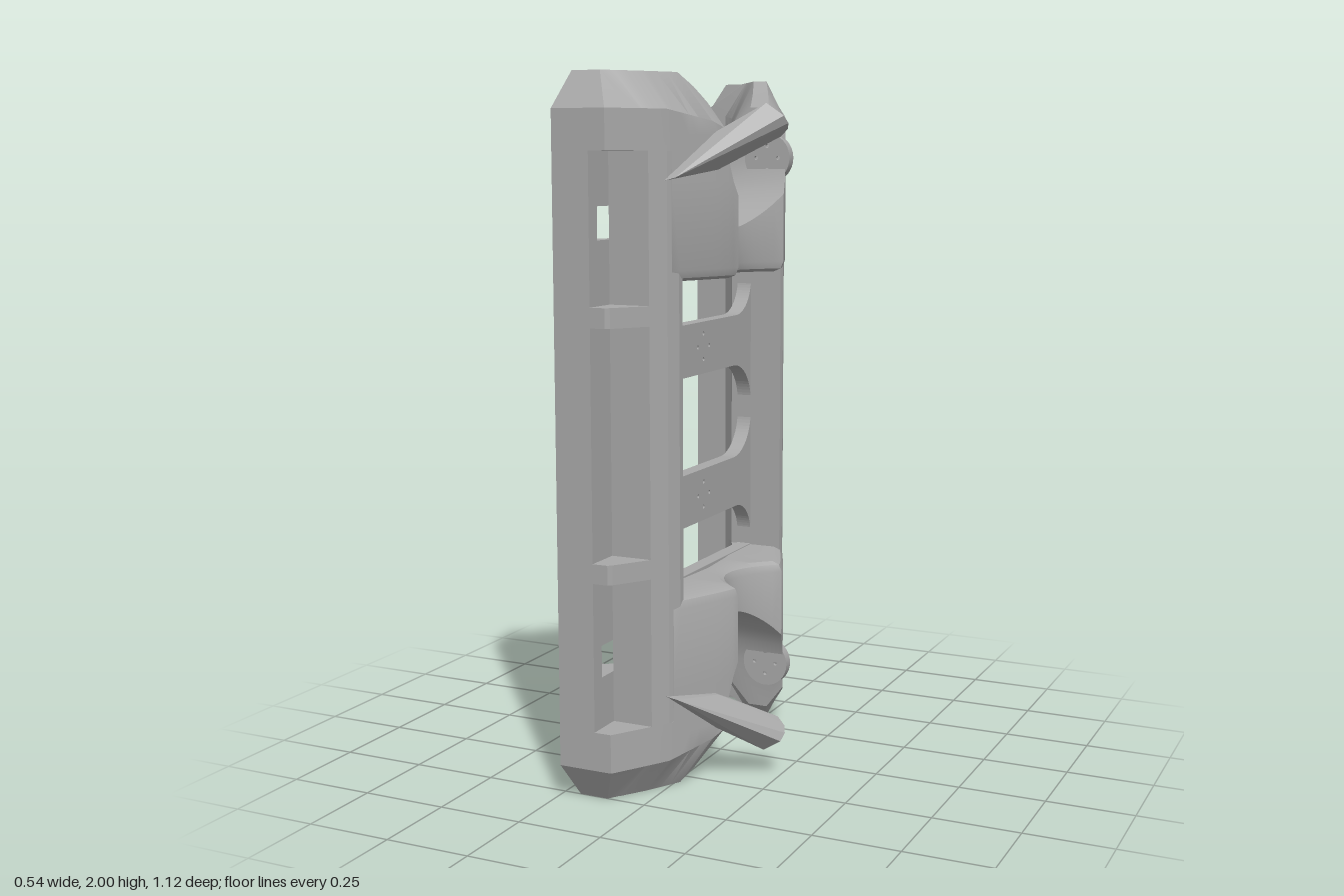
import * as THREE from 'three';
import { toCreasedNormals } from 'three/addons/utils/BufferGeometryUtils.js';
import { ConvexGeometry } from 'three/addons/geometries/ConvexGeometry.js';

const grey = new THREE.MeshStandardMaterial({ color: 0xa8a8a8 });
grey.name = 'grey plastic';

// linear interpolation in a table of rows [key, ...values]
function lookup(table, k, col = 1) {
  for (let i = 1; i < table.length; i++) {
    const a = table[i - 1], b = table[i];
    if (k <= b[0]) return a[col] + (b[col] - a[col]) * Math.max(0, (k - a[0]) / (b[0] - a[0]));
  }
  return table[table.length - 1][col];
}

// inner and outer faces of the arched plan, x against distance from the middle
const inner = [[0, -0.04], [0.15, -0.05], [0.25, -0.075], [0.3, -0.1], [0.36, -0.13], [0.4, -0.17]];
const outer = [[0.16, 0.13], [0.18, 0.125], [0.22, 0.11], [0.3, 0.075], [0.4, 0.03], [0.45, 0], [0.56, -0.07]];
const outX = z => z < 0.16 ? 0.035 + 0.095 * (z / 0.16) ** 2 : lookup(outer, z);
const backX = s => (s > 0 ? -0.23 : -0.27);
const inX = (z, s) => z > 0.403 ? backX(s) : lookup(inner, z);

// top of the horn: distance, side height, ridge height, ridge x from, ridge x to
const ridge = [
  [0.21, 1.85, 1.92, 0, 0.06], [0.25, 1.87, 1.96, -0.01, 0.04], [0.3, 1.88, 2, -0.03, 0.012],
  [0.4, 1.9, 2, -0.1, -0.045], [0.465, 1.9, 2, -0.145, -0.09], [0.47, 1.9, 2, -0.2, -0.095],
  [0.5, 1.9, 2, -0.2, -0.115], [0.56, 1.9, 1.9, -0.23, -0.07],
];

// upper horn section at distance z on side s
function hornRing(z, s, lo, pocket) {
  const a = inX(z, s), b = outX(z), r = lo < 1.5 ? 0.03 : 0;
  let side, top, ta = a, tb = b;
  if (z < 0.205) {
    side = top = 1.57 + 0.26 * (1 - Math.sqrt(1 - (z / 0.205) ** 2));
  } else {
    [side, top, ta, tb] = [1, 2, 3, 4].map(c => lookup(ridge, z, c));
    if (z === 0.56) ta = a;
  }
  const y0 = Math.min(1.71, side), y1 = Math.min(1.83, side);
  const y2 = Math.max(lo, y0), y3 = Math.max(lo, y1), p = pocket ? 0 : b;
  return [[a, lo], [b - r, lo], [b - 0.3 * r, lo + 0.3 * r], [b, lo + r], [b, y2], [p, y2],
    [p, y3], [b, y3], [b, side], [tb, top], [ta, top], [a, side]].map(q => [...q, z * s]);
}

// closed skin over a row of rings
function loft(rings) {
  const n = rings[0].length, idx = [];
  for (let i = 0; i < rings.length - 1; i++) {
    for (let j = 0; j < n; j++) {
      const k = (j + 1) % n, a = i * n + j, b = i * n + k;
      idx.push(a, b, b + n, a, b + n, a + n);
    }
  }
  const e = (rings.length - 1) * n;
  for (let j = 1; j < n - 1; j++) idx.push(0, j + 1, j, e, e + j, e + j + 1);
  const g = new THREE.BufferGeometry();
  g.setAttribute('position', new THREE.Float32BufferAttribute(rings.flat(2), 3));
  g.setIndex(idx);
  return g;
}

// reflect about half height, keeping faces outward
function mirrorY(geo) {
  const src = (geo.index ? geo.toNonIndexed() : geo).getAttribute('position');
  const pos = [];
  for (let i = 0; i < src.count; i += 3) {
    for (const k of [i, i + 2, i + 1]) pos.push(src.getX(k), 2 - src.getY(k), src.getZ(k));
  }
  const g = new THREE.BufferGeometry();
  g.setAttribute('position', new THREE.Float32BufferAttribute(pos, 3));
  return g;
}

// upright prism from a plan of [x, distance] on side s
function prism(plan, s, y0, y1) {
  const shape = new THREE.Shape(plan.map(([x, z]) => new THREE.Vector2(x, z * s)));
  return new THREE.ExtrudeGeometry(shape, { depth: y1 - y0, bevelEnabled: false })
    .rotateX(Math.PI / 2).translate(0, y1, 0);
}

function circlePath(x, y, r) {
  return new THREE.Path().absarc(x, y, r, 0, Math.PI * 2, true);
}

// opening with its own corner radius at the bottom and the top
function opening(w, y0, y1, rb, rt) {
  const p = new THREE.Path();
  p.moveTo(-w + rb, y0).lineTo(w - rb, y0);
  p.absarc(w - rb, y0 + rb, rb, -Math.PI / 2, 0);
  p.lineTo(w, y1 - rt).absarc(w - rt, y1 - rt, rt, 0, Math.PI / 2);
  p.lineTo(-w + rt, y1).absarc(-w + rt, y1 - rt, rt, Math.PI / 2, Math.PI);
  p.lineTo(-w, y0 + rb).absarc(-w + rb, y0 + rb, rb, Math.PI, Math.PI * 1.5);
  return p;
}

export function createModel() {
  const model = new THREE.Group();
  const add = (name, geo) => {
    const m = new THREE.Mesh(geo, grey);
    m.name = name;
    model.add(m);
    return m;
  };
  const addPair = (name, geo, crease = 0.5) => {
    add('upper' + name, toCreasedNormals(geo, crease));
    add('lower' + name, toCreasedNormals(mirrorY(geo), crease));
  };

  // arched horns with the U-shaped cutout
  const half = s => {
    const rows = [];
    for (let i = 0; i <= 10; i++) rows.push([i * 0.02, 1.44]);
    for (const z of [0.21, 0.23, 0.255]) rows.push([z, 1.44]);
    for (const z of [0.255, 0.3, 0.33]) rows.push([z, 1.44, s < 0]);
    for (const z of [0.33, 0.36, 0.385]) rows.push([z, 1.44]);
    for (const z of [0.385, 0.4, 0.405, 0.44, 0.465, 0.47, 0.5, 0.56]) rows.push([z, 1.79]);
    return rows.map(([z, lo, p]) => hornRing(z, s, lo, p));
  };
  addPair('Horn', loft([...half(-1).reverse(), ...half(1).slice(1)]));

  // side rails with the long outer notch, strap holes and ribs
  for (const s of [1, -1]) {
    const side = s > 0 ? 'front' : 'rear';
    const b = backX(s), n = s > 0 ? 0.45 : 0.43, h = s > 0 ? 0.515 : 0.525;
    const bodyIn = [[-0.12, 0.34], [-0.13, 0.36], [-0.155, 0.385]];
    const bodyOut = [[outX(n), n], [0.03, 0.4], [0.045, 0.36], [0.045, 0.34]];
    const solid = [...bodyIn, [-0.17, 0.4], [b, 0.405], [b, 0.56], [-0.12, 0.56], [-0.12, n], ...bodyOut];
    for (const [y0, y1] of [[0.21, 0.355], [0.445, 1.555], [1.645, 1.79]]) {
      add(side + 'Rail', prism(solid, s, y0, y1));
    }
    const rect = (x0, x1, z0, z1) => [[x0, z0], [x1, z0], [x1, z1], [x0, z1]];
    const pieces = s > 0
      ? [[...bodyIn, [-0.12, 0.385], [-0.12, n], ...bodyOut], rect(b, -0.19, 0.405, n), rect(b, -0.12, h, 0.56)]
      : [[...bodyIn, [-0.17, 0.4], [b, 0.405], [b, n], ...bodyOut],
        rect(b, -0.235, h, 0.56), rect(-0.155, -0.12, h, 0.56)];
    for (const y of [0.355, 1.555]) {
      for (const piece of pieces) add(side + 'StrapHoleWall', prism(piece, s, y, y + 0.09));
    }
    const rib = [[-0.12, n], [outX(n), n], [-0.065, 0.55], [-0.075, 0.56], [-0.12, 0.56]];
    for (const [y0, y1] of s > 0 ? [[0.63, 0.685], [1.325, 1.38]] : [[0.64, 0.73], [1.28, 1.37]]) {
      add(side + 'Rib', prism(rib, s, y0, y1));
    }
  }

  // centre plate: two crossbars left between three openings
  const plate = new THREE.Shape([[-0.36, 0.55], [0.36, 0.55], [0.36, 1.45], [-0.36, 1.45]]
    .map(p => new THREE.Vector2(...p)));
  plate.holes.push(opening(0.342, 0.562, 0.705, 0.004, 0.11), opening(0.342, 0.86, 1.145, 0.13, 0.13),
    opening(0.342, 1.298, 1.438, 0.11, 0.004));
  for (const y of [0.783, 1.225]) {
    for (const [dx, dy] of [[0.038, 0], [-0.038, 0], [0, 0.038], [0, -0.038]]) {
      plate.holes.push(circlePath(dx, y + dy, 0.006));
    }
  }
  add('crossbars', new THREE.ExtrudeGeometry(plate, { depth: 0.045, bevelEnabled: false, curveSegments: 10 })
    .rotateY(Math.PI / 2).translate(-0.1, 0, 0));

  // hooks on the front horn tips
  addPair('Hook', new ConvexGeometry([
    [0.02, 1.71, 0.41], [0.055, 1.72, 0.4], [0.05, 1.745, 0.36], [0.11, 1.74, 0.25], [0.04, 1.73, 0.23],
    [0.04, 1.8, 0.29], [0.27, 1.865, 0.14], [0.26, 1.85, 0.12], [0.235, 1.83, 0.11], [0.175, 1.9, 0.11],
    [0.2, 1.92, 0.13], [0.21, 1.92, 0.155], [0.265, 1.885, 0.16],
  ].map(p => new THREE.Vector3(...p))), 0.3);

  // drilled round pads and their stems on the rear horn tips
  const disc = new THREE.Shape().absarc(0, 0, 0.072, 0, Math.PI * 2);
  for (const [dx, dy] of [[0.035, 0], [-0.035, 0], [0, 0.035], [0, -0.035]]) {
    disc.holes.push(circlePath(dx, dy, 0.006));
  }
  addPair('Pad', new THREE.ExtrudeGeometry(disc, { depth: 0.03, bevelEnabled: false, curveSegments: 16 })
    .translate(0.063, 1.772, -0.22));
  addPair('PadStem', new THREE.CylinderGeometry(0.045, 0.045, 0.05, 24)
    .rotateX(Math.PI / 2).translate(0.063, 1.772, -0.243));

  return model;
}
